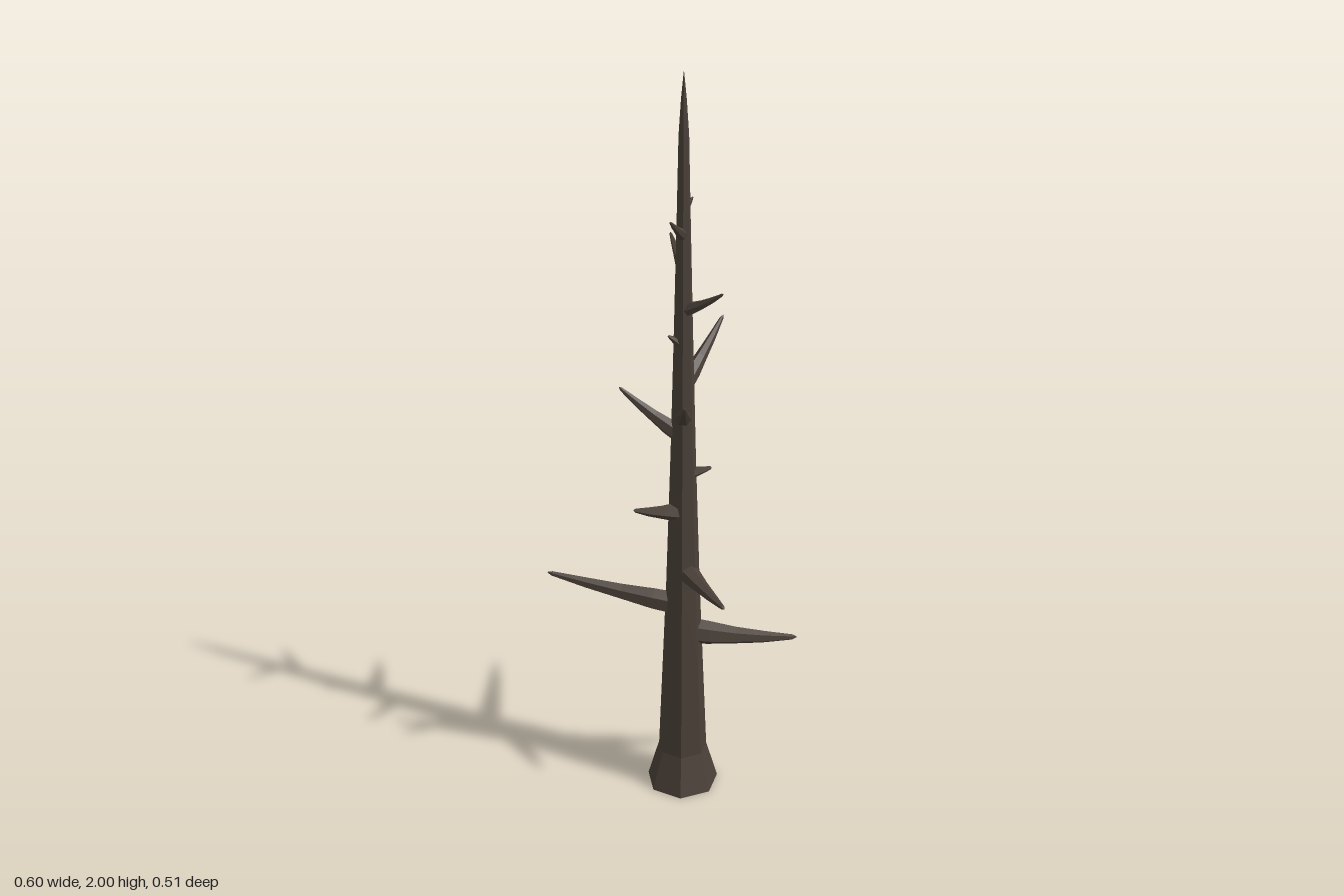
import * as THREE from 'three';

const X = 0.008, Z = 0.042; // trunk axis

export function createModel() {
  const group = new THREE.Group();
  const bark = new THREE.MeshStandardMaterial({ color: 0x4a4038, flatShading: true, roughness: 1 });

  const lathe = (points, sides, start = 0) =>
    new THREE.LatheGeometry(points.map(([r, y]) => new THREE.Vector2(r, y)), sides, start);

  // Tapering trunk with flared foot and pointed top
  const trunk = new THREE.Mesh(lathe([
    [0, 0], [0.097, 0], [0.066, 0.11], [0.054, 0.4], [0.045, 0.62], [0.033, 1],
    [0.024, 1.35], [0.017, 1.65], [0.013, 1.84], [0.007, 1.93], [0, 2],
  ], 7, Math.PI), bark);
  trunk.name = 'trunk';
  trunk.position.set(X, 0, Z);
  group.add(trunk);

  // Thorn-like branch from the trunk axis to a tip; bow bends its middle up or down
  function addBranch(rootY, tip, radius, bow) {
    const root = new THREE.Vector3(X, rootY, Z);
    const dir = new THREE.Vector3(...tip).sub(root);
    const length = dir.length();
    const geo = lathe([
      [0, 0], [1, 0], [0.9, 0.22], [0.66, 0.45], [0.46, 0.7], [0.2, 0.96], [0, 1],
    ].map(([r, t]) => [r * radius, t * length]), 6);
    geo.applyQuaternion(new THREE.Quaternion().setFromUnitVectors(
      new THREE.Vector3(0, 1, 0), dir.clone().normalize()));
    const p = geo.attributes.position;
    const v = new THREE.Vector3();
    for (let i = 0; i < p.count; i++) {
      const t = THREE.MathUtils.clamp(v.fromBufferAttribute(p, i).dot(dir) / (length * length), 0, 1);
      p.setY(i, v.y + bow * 4 * t * (1 - t));
    }
    geo.computeVertexNormals();
    const mesh = new THREE.Mesh(geo, bark);
    mesh.name = 'branch';
    mesh.position.copy(root);
    group.add(mesh);
  }

  // Root height, tip, root radius, bow
  [
    [0.480, [0.30, 0.44, 0.137], 0.036, -0.008],
    [0.555, [-0.30, 0.617, -0.155], 0.034, -0.004],
    [0.670, [0.034, 0.652, 0.252], 0.029, -0.004],
    [0.735, [0.142, 0.746, -0.254], 0.027, -0.003],
    [0.835, [-0.145, 0.89, 0.084], 0.025, -0.004],
    [0.940, [0.08, 0.956, 0.06], 0.020, 0],
    [1.050, [-0.122, 1.163, -0.07], 0.024, -0.005],
    [1.100, [-0.042, 1.192, 0.17], 0.022, -0.006],
    [1.190, [0.15, 1.33, -0.036], 0.023, -0.006],
    [1.300, [-0.036, 1.337, 0.05], 0.016, 0],
    [1.395, [0.07, 1.467, 0.144], 0.018, -0.005],
    [1.505, [0.021, 1.557, -0.074], 0.016, -0.003],
    [1.590, [-0.055, 1.656, 0.11], 0.015, -0.003],
    [1.650, [0.031, 1.687, 0.045], 0.011, 0],
  ].forEach((b) => addBranch(...b));

  return group;
}
